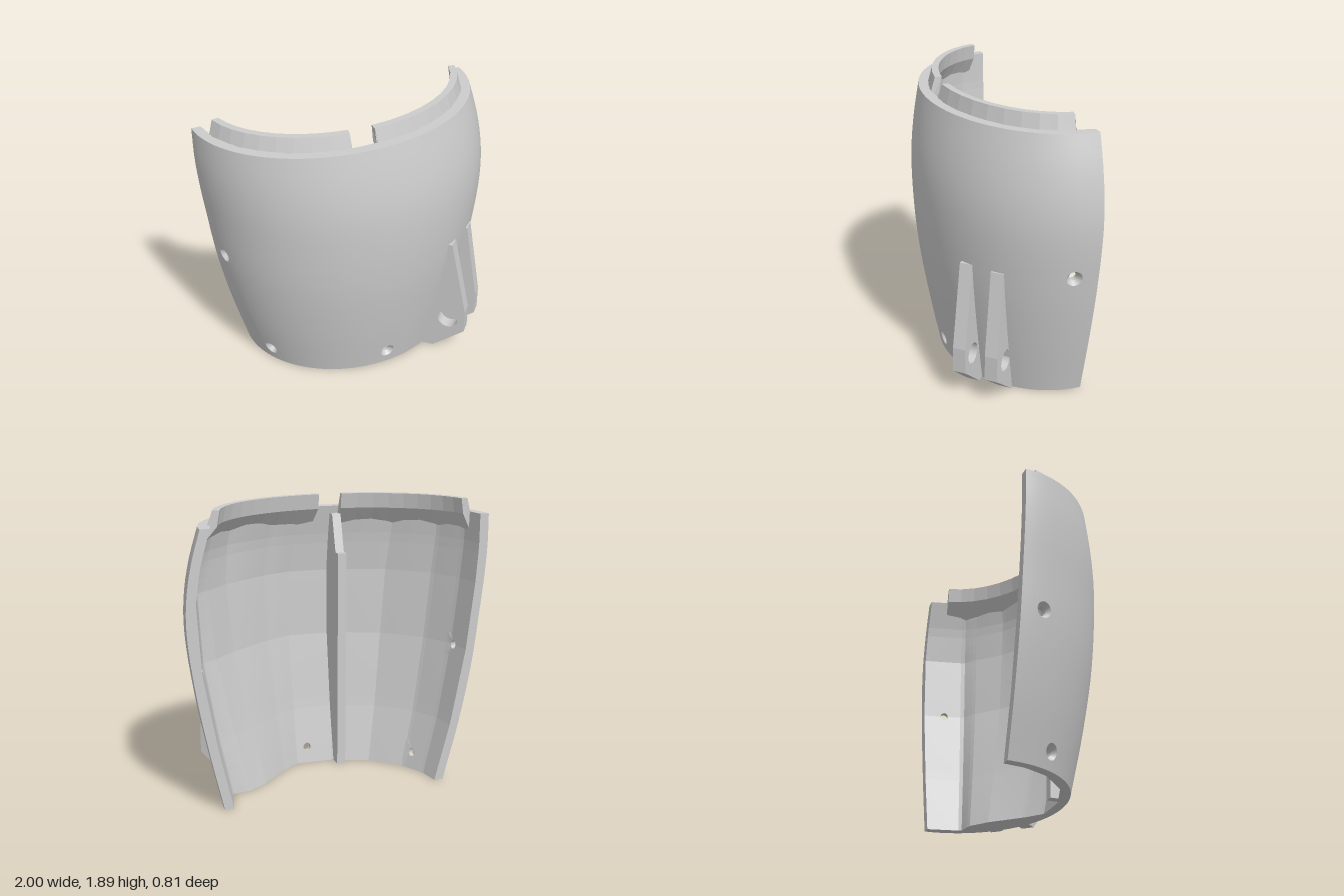
import * as THREE from 'three';
import { toCreasedNormals } from 'three/addons/utils/BufferGeometryUtils.js';

const BACK = -0.405, TOP = 1.8, WALL = 0.06;

// Outer shell outline by height: right edge x, left edge x, front z
const heights = [0, 0.4, 0.8, 1.2, 1.4, 1.6, 1.8];
const outline = new THREE.CubicInterpolant(heights, new Float32Array([
  0.79, -0.73, 0.25,
  0.88, -0.835, 0.325,
  0.955, -0.915, 0.383,
  1.0, -0.965, 0.405,
  0.992, -0.987, 0.396,
  0.957, -1.0, 0.365,
  0.90, -1.0, 0.32]), 3);

// Point on the half-ellipse section at angle u, height y, moved inward by d
function section(u, y, d = 0) {
  const [r, l, f] = outline.evaluate(Math.min(y, TOP));
  return new THREE.Vector3(
    (r + l) / 2 + ((r - l) / 2 - d) * Math.cos(u), y, BACK + (f - BACK - d) * Math.sin(u));
}

// Faceted lining, with a thickened pad behind the bracket
const facetU = [0, 0.385, 0.5, 0.79, 1.24, 1.45, 1.8, 2.2, 2.6, 2.9, Math.PI];
const pad = [0, 0, 0.1, 0.14, 0.065, 0, 0, 0, 0, 0, 0];
const facetY = [0, 0.4, 0.9, 1.35, 1.58, TOP];
const padFade = [1, 0.85, 0.6, 0.4, 0.15, 0];

function cell(list, t) {
  let i = 0;
  while (i < list.length - 2 && t > list[i + 1]) i++;
  return [i, (t - list[i]) / (list[i + 1] - list[i])];
}
function lining(u, y) {
  const [i, s] = cell(facetU, u), [j, t] = cell(facetY, y);
  const corner = (a, b) => section(facetU[a], facetY[b], WALL + pad[a] * padFade[b]);
  return corner(i, j).lerp(corner(i + 1, j), s)
    .lerp(corner(i, j + 1).lerp(corner(i + 1, j + 1), s), t);
}
const through = (u, y, d) => section(u, y).lerp(lining(u, y), d);

// Collects quads, corners counter-clockwise from the visible side
class Quads {
  constructor() { this.p = []; }
  add(a, b, c, d) {
    for (const v of [a, b, c, a, c, d]) this.p.push(v.x, v.y, v.z);
  }
  mesh(name, crease = 0) {
    let g = new THREE.BufferGeometry();
    g.setAttribute('position', new THREE.Float32BufferAttribute(this.p, 3));
    g.computeVertexNormals();
    if (crease) g = toCreasedNormals(g, crease);
    return named(new THREE.Mesh(g, material(!crease)), name);
  }
}
const material = (flatShading) =>
  new THREE.MeshStandardMaterial({ color: 0xcccccc, flatShading });
function named(o, name) { o.name = name; return o; }

// Countersunk screw holes: angle and height, with half-sizes in u and y
const holes = [[1.56, 0.11], [2.69, 0.11], [0.195, 0.9], [Math.PI - 0.195, 0.9]].map(([u, y]) => {
  const perU = section(u + 0.01, y).distanceTo(section(u - 0.01, y)) / 0.02;
  return { u, y, perU, hu: 0.075 / perU, hy: 0.075 };
});

function buildShell(group) {
  const outer = new Quads(), inner = new Quads(), edges = new Quads(), bores = new Quads();
  const lines = (max, n, key, half) => {
    const list = Array.from({ length: n + 1 }, (_, i) => max * i / n);
    holes.forEach(h => list.push(h[key] - h[half], h[key] + h[half]));
    return list.sort((a, b) => a - b).filter((v, i) => !i || v - list[i - 1] > 1e-6);
  };
  const us = lines(Math.PI, 80, 'u', 'hu'), ys = lines(TOP, 28, 'y', 'hy');

  for (let i = 0; i < us.length - 1; i++) {
    const a = us[i], b = us[i + 1];
    for (let j = 0; j < ys.length - 1; j++) {
      const c = ys[j], d = ys[j + 1];
      const inHole = holes.some(h => Math.abs((a + b) / 2 - h.u) < h.hu && Math.abs((c + d) / 2 - h.y) < h.hy);
      if (inHole) continue;
      outer.add(section(a, c), section(a, d), section(b, d), section(b, c));
      inner.add(lining(a, c), lining(b, c), lining(b, d), lining(a, d));
    }
    // Top and bottom rims
    edges.add(section(a, TOP), lining(a, TOP), lining(b, TOP), section(b, TOP));
    edges.add(section(a, 0), section(b, 0), lining(b, 0), lining(a, 0));
  }
  // Straight rear edges
  for (let j = 0; j < ys.length - 1; j++) {
    const c = ys[j], d = ys[j + 1], e = Math.PI;
    edges.add(section(0, c), lining(0, c), lining(0, d), section(0, d));
    edges.add(section(e, c), section(e, d), lining(e, d), lining(e, c));
  }
  // Each hole: square border, countersink, bore, square border inside
  const N = 24, profile = [[0, 0], [0.05, 0], [0.028, 0.45], [0.028, 1], [0, 1]];
  for (const h of holes) {
    const at = (k, j) => {
      const [r, d] = profile[k], f = j / N * Math.PI * 2, c = Math.cos(f), s = Math.sin(f);
      const q = 1 / Math.max(Math.abs(c), Math.abs(s));
      return r ? through(h.u + c * r / h.perU, h.y + s * r, d)
        : through(h.u + c * q * h.hu, h.y + s * q * h.hy, d);
    };
    for (let k = 0; k < 4; k++) for (let j = 0; j < N; j++) {
      [outer, bores, bores, inner][k].add(at(k, j), at(k + 1, j), at(k + 1, j + 1), at(k, j + 1));
    }
  }
  group.add(outer.mesh('outerShell', 0.6), inner.mesh('innerLining'),
    edges.mesh('shellEdges'), bores.mesh('screwHoles', 0.5));
}

// Raised locating lip: a closed section swept along the top rim
function lip(name, from, to) {
  const q = new Quads(), n = 9;
  const ring = [[0.05, 1.66], [0.065, 1.8], [0.09, 1.89], [0.135, 1.89], [0.12, 1.79]];
  const at = (i, k) => section(from + (to - from) * i / n, ring[k % 5][1], ring[k % 5][0]);
  for (let k = 0; k < 5; k++) for (let i = 0; i < n; i++) {
    q.add(at(i, k), at(i, k + 1), at(i + 1, k + 1), at(i + 1, k));
  }
  for (let k = 1; k < 4; k++) {
    q.add(at(0, 0), at(0, k + 1), at(0, k), at(0, 0));
    q.add(at(n, 0), at(n, k), at(n, k + 1), at(n, 0));
  }
  return q.mesh(name);
}

// Flat plate from a profile of [reach, height], centred on its thickness
function plate(points, thickness, hole) {
  const shape = new THREE.Shape(points.map(p => new THREE.Vector2(...p)));
  if (hole) shape.holes.push(new THREE.Path().absarc(...hole, 0, Math.PI * 2, true));
  const g = new THREE.ExtrudeGeometry(shape, { depth: thickness, bevelEnabled: false, curveSegments: 16 });
  return g.translate(0, 0, -thickness / 2);
}

export function createModel() {
  const model = named(new THREE.Group(), 'halfShellCover');
  buildShell(model);
  model.add(lip('lipLeft', 0.18, 1.571), lip('lipRight', 1.76, Math.PI - 0.17));

  // Two bracket ears set at 45 degrees
  const bracket = named(new THREE.Group(), 'hingeBracket');
  bracket.rotation.y = -Math.PI / 4;
  [[0.166, 0.685, 0.57], [0.392, 0.70, 0.612]].forEach(([side, reach, top], i) => {
    const g = plate([[0.33, 0], [0.465, 0], [reach, 0.18], [reach, 0.35], [top, 0.9], [0.53, 0.9]],
      0.085, [0.565, 0.265, 0.07]);
    const ear = named(new THREE.Mesh(g, material(true)), i ? 'earRear' : 'earFront');
    ear.position.z = -side;
    bracket.add(ear);
  });
  model.add(bracket);

  // Upright rib inside the front wall
  const rib = plate([[0.09, 0], [0.2, 0], [0.28, 0.4], [0.35, 0.9], [0.365, 1.2], [0.34, 1.5],
    [0.28, 1.75], [0.21, 1.75], [0.14, 1.5], [0.09, 1.5]], 0.06);
  const ribMesh = named(new THREE.Mesh(rib, material(true)), 'innerRib');
  ribMesh.rotation.y = -Math.PI / 2;
  ribMesh.position.x = -0.18;
  model.add(ribMesh);
  return model;
}
